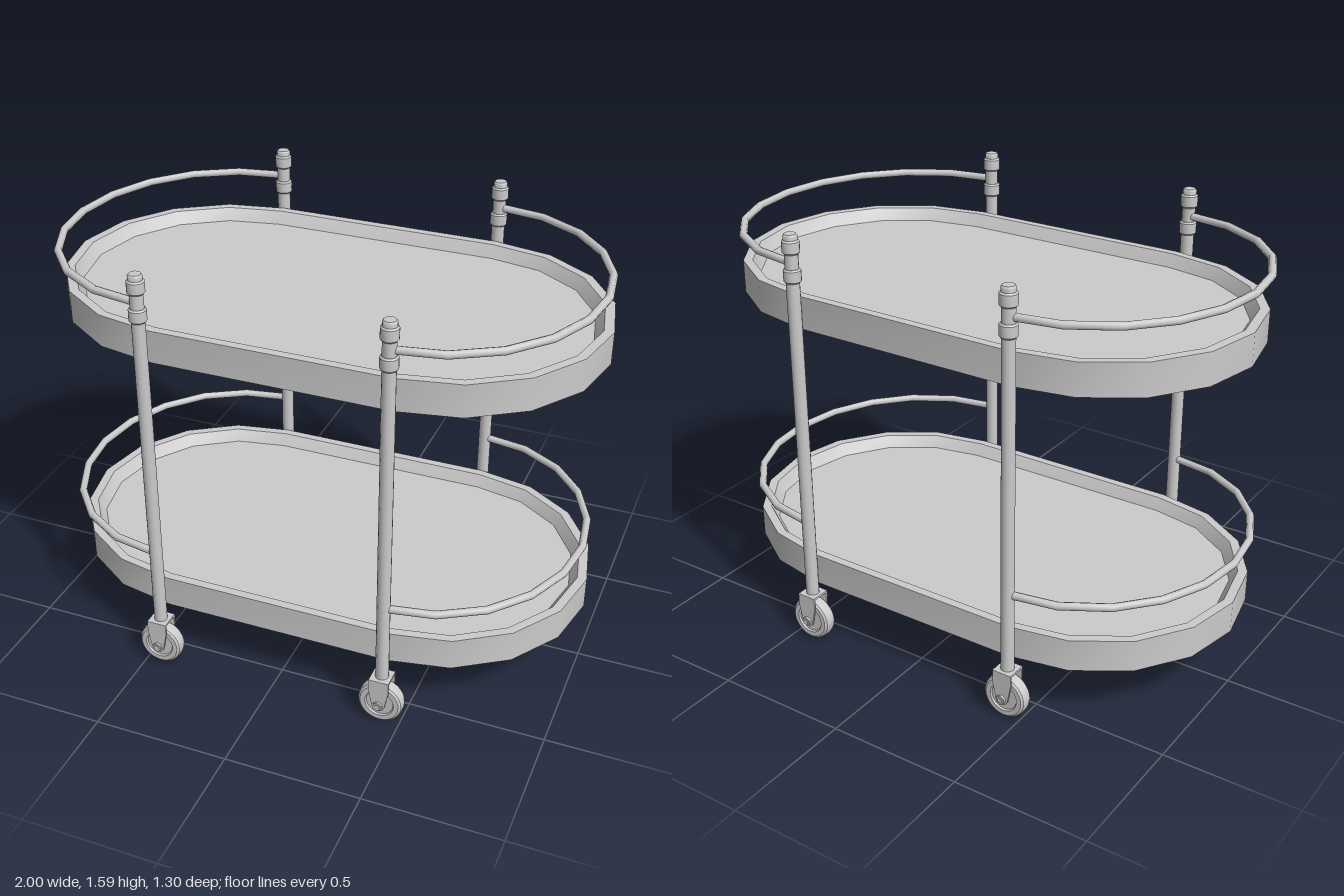
import * as THREE from 'three';
import { toCreasedNormals } from 'three/addons/utils/BufferGeometryUtils.js';

const material = new THREE.MeshStandardMaterial({ color: 0xcccccc });
const LEG_X = 0.435, LEG_Z = 0.6, OFFSET_X = -0.0075;

function add(parent, name, geometry, x = 0, y = 0, z = 0) {
  const mesh = new THREE.Mesh(geometry, material);
  mesh.name = name;
  mesh.position.set(x, y, z);
  parent.add(mesh);
  return mesh;
}

// Stadium outline: two faceted half ellipses joined by straight sides
function stadium(rx, rz, y) {
  const points = [];
  for (let side = 0; side < 2; side++) {
    for (let i = 0; i <= 8; i++) {
      const t = -Math.PI / 2 + side * Math.PI + (i / 8) * Math.PI;
      const centre = side === 0 ? 0.43 : -0.43;
      points.push([centre + rx * Math.cos(t), y, rz * Math.sin(t)]);
    }
  }
  return points;
}

// Tray: underside, outer wall, flat rim, sloping inner wall and floor
function trayGeometry() {
  const rings = [
    stadium(0, 0, 0), stadium(0.57, 0.5625, 0), stadium(0.57, 0.5625, 0.12),
    stadium(0.535, 0.53, 0.12), stadium(0.505, 0.505, 0.075), stadium(0, 0, 0.075),
  ];
  const positions = [];
  for (let j = 0; j < rings.length - 1; j++) {
    const n = rings[j].length;
    for (let i = 0; i < n; i++) {
      const k = (i + 1) % n;
      const a = rings[j][i], b = rings[j][k], c = rings[j + 1][k], d = rings[j + 1][i];
      positions.push(...a, ...d, ...b, ...b, ...d, ...c);
    }
  }
  const geometry = new THREE.BufferGeometry();
  geometry.setAttribute('position', new THREE.Float32BufferAttribute(positions, 3));
  return toCreasedNormals(geometry, 0.5);
}

// Half-ellipse path of a guard rail, from the back leg to the front leg
class RailCurve extends THREE.Curve {
  getPoint(t, target = new THREE.Vector3()) {
    const a = (t - 0.5) * Math.PI;
    return target.set(LEG_X + 0.545 * Math.cos(a), 0, LEG_Z * Math.sin(a));
  }
}

function lathe(points, segments) {
  const geometry = new THREE.LatheGeometry(points.map(p => new THREE.Vector2(...p)), segments);
  return toCreasedNormals(geometry, 0.6);
}

// Leg post with two rounded collars and a cap
function createLeg() {
  const leg = new THREE.Group();
  leg.name = 'leg';
  add(leg, 'post', new THREE.CylinderGeometry(0.024, 0.024, 1.38, 16), 0, 0.87, 0);
  const collar = lathe([[0, -0.025], [0.026, -0.025], [0.031, -0.019], [0.031, 0.019],
    [0.026, 0.025], [0, 0.025]], 16);
  for (const y of [1.443, 1.545]) add(leg, 'collar', collar, 0, y, 0);
  add(leg, 'cap', lathe([[0, 1.56], [0.025, 1.56], [0.025, 1.584], [0.021, 1.59], [0, 1.59]], 16));
  return leg;
}

// Tapered fork cheek with a rounded lower end
function cheekGeometry() {
  const s = new THREE.Shape();
  s.moveTo(-0.037, 0.19);
  s.lineTo(-0.037, 0.145);
  s.lineTo(-0.024, 0.08);
  s.absarc(0, 0.083, 0.024, Math.PI, Math.PI * 2, false);
  s.lineTo(0.037, 0.145);
  s.lineTo(0.037, 0.19);
  s.closePath();
  return new THREE.ExtrudeGeometry(s, { depth: 0.007, bevelEnabled: false, curveSegments: 8 });
}

function createCaster() {
  const caster = new THREE.Group();
  caster.name = 'caster';
  // Wheel with a rounded tread and recessed hub faces
  const wheel = lathe([[0, -0.02], [0.05, -0.02], [0.054, -0.026], [0.072, -0.026], [0.08, -0.02],
    [0.083, -0.01], [0.083, 0.01], [0.08, 0.02], [0.072, 0.026], [0.054, 0.026], [0.05, 0.02], [0, 0.02]], 28);
  add(caster, 'wheel', wheel, 0, 0.083, 0).rotation.x = Math.PI / 2;
  // Fork and axle
  add(caster, 'forkTop', new THREE.BoxGeometry(0.074, 0.008, 0.076), 0, 0.186, 0);
  const cheek = cheekGeometry();
  for (const z of [-0.038, 0.031]) add(caster, 'forkCheek', cheek, 0, 0, z);
  add(caster, 'axle', new THREE.CylinderGeometry(0.01, 0.01, 0.1, 10), 0, 0.083, 0).rotation.x = Math.PI / 2;
  for (const z of [-0.042, 0.042]) {
    add(caster, 'axleNut', new THREE.CylinderGeometry(0.018, 0.018, 0.009, 6), 0, 0.083, z).rotation.x = Math.PI / 2;
  }
  return caster;
}

export function createModel() {
  const model = new THREE.Group();
  model.name = 'servingCart';

  const tray = trayGeometry();
  add(model, 'lowerTray', tray, 0, 0.22, -0.0125);
  add(model, 'upperTray', tray, 0, 1.24, -0.0125);

  // Guard rails at both ends of each level
  const rail = new THREE.TubeGeometry(new RailCurve(), 10, 0.0145, 8, false);
  for (const y of [0.488, 1.487]) {
    for (const turn of [0, Math.PI]) add(model, 'guardRail', rail, OFFSET_X, y, 0).rotation.y = turn;
  }

  // Four legs on casters
  for (const sx of [-1, 1]) {
    for (const sz of [-1, 1]) {
      for (const part of [createLeg(), createCaster()]) {
        part.position.set(OFFSET_X + sx * LEG_X, 0, sz * LEG_Z);
        model.add(part);
      }
    }
  }
  return model;
}
